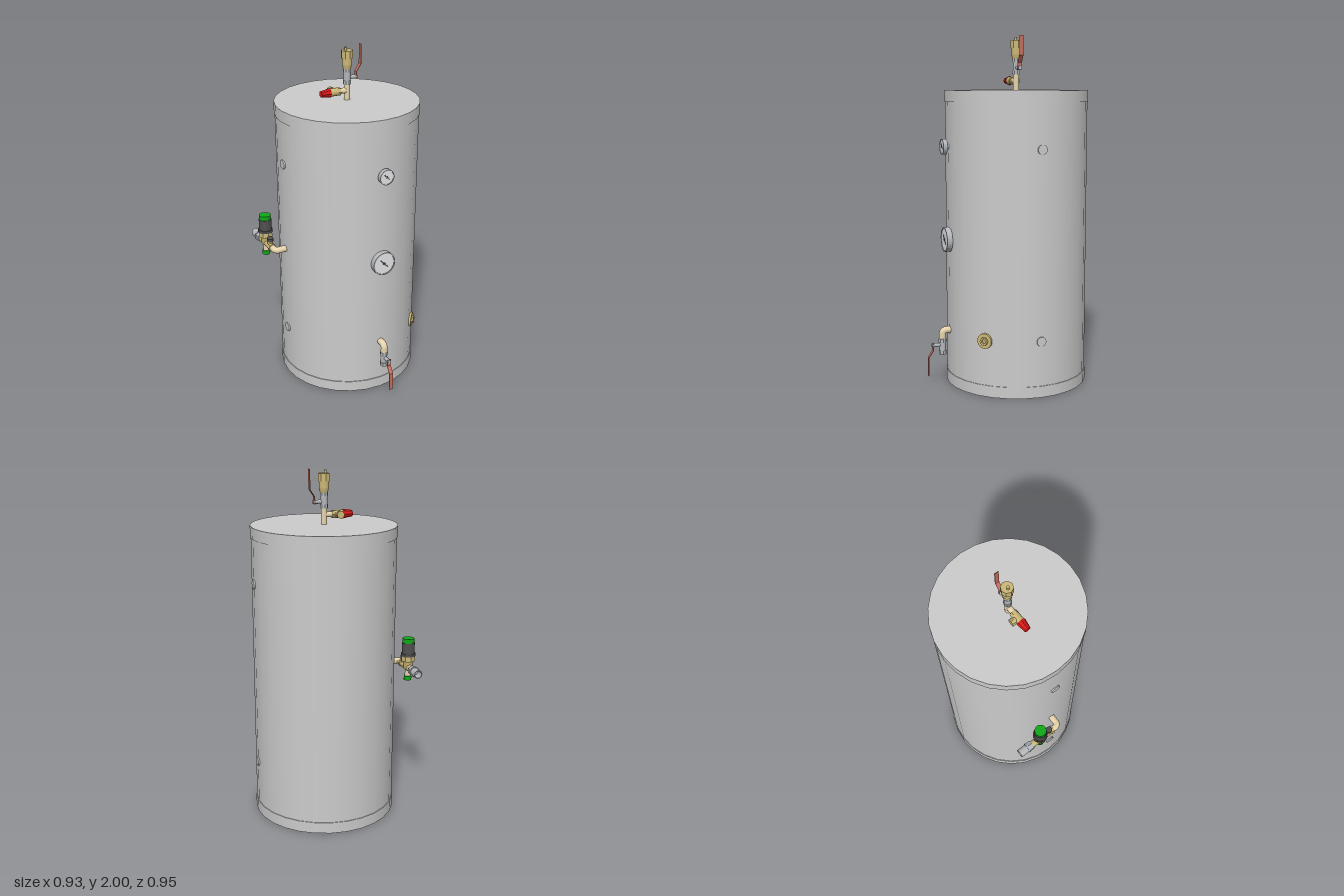
import * as THREE from 'three';

const mat = (color) => new THREE.MeshStandardMaterial({ color });
const grey = mat(0xcccccc), steel = mat(0xb4b8bc), brass = mat(0xccb878), tan = mat(0xe6d4ac);
const red = mat(0xd81818), leverRed = mat(0xc87060), green = mat(0x10a818), dark = mat(0x505050), white = mat(0xe8e8ec);
const V = (x, y, z) => new THREE.Vector3(x, y, z);
const UP = V(0, 1, 0);

function add(parent, name, geo, material) {
  const m = new THREE.Mesh(geo, material);
  m.name = name;
  parent.add(m);
  return m;
}

// Cylinder or cone between two points; few-sided ones get flat facets
function rod(parent, name, a, b, r, material, seg = 20, r2 = r) {
  let geo = new THREE.CylinderGeometry(r2, r, a.distanceTo(b), seg);
  if (seg <= 8) {
    geo = geo.toNonIndexed();
    geo.computeVertexNormals();
  }
  const m = add(parent, name, geo, material);
  m.position.copy(a).add(b).multiplyScalar(0.5);
  m.quaternion.setFromUnitVectors(UP, b.clone().sub(a).normalize());
  return m;
}

// Pipe with a rounded elbow at the middle point
function elbow(parent, name, a, corner, b, r, bend) {
  const p = corner.clone().add(a.clone().sub(corner).setLength(bend));
  const q = corner.clone().add(b.clone().sub(corner).setLength(bend));
  const path = new THREE.CurvePath();
  path.add(new THREE.LineCurve3(a, p));
  path.add(new THREE.QuadraticBezierCurve3(p, corner, q));
  path.add(new THREE.LineCurve3(q, b));
  add(parent, name, new THREE.TubeGeometry(path, 24, r, 16), tan);
}

// Ball valve: bore along y, stem along +z, cranked lever along +y
function ballValve(name) {
  const g = new THREE.Group();
  g.name = name;
  rod(g, 'valveBody', V(0, -0.03, 0), V(0, 0.03, 0), 0.019, steel);
  for (const s of [-1, 1]) rod(g, 'valveNut', V(0, s * 0.024, 0), V(0, s * 0.046, 0), 0.023, steel, 8);
  rod(g, 'valveStem', V(0, -0.01, 0), V(0, -0.01, 0.05), 0.011, steel, 12);
  rod(g, 'stemNut', V(0, -0.01, 0.05), V(0, -0.01, 0.064), 0.012, steel, 6);
  const pts = [[0.054, -0.022], [0.054, 0.02], [0.082, 0.06], [0.082, 0.17]];
  const outline = [...pts, ...pts.map(([z, y]) => [z + 0.004, y]).reverse()];
  const shape = new THREE.Shape(outline.map(([z, y]) => new THREE.Vector2(z, y)));
  const geo = new THREE.ExtrudeGeometry(shape, { depth: 0.024, bevelEnabled: false });
  geo.translate(0, 0, -0.012).rotateY(-Math.PI / 2);
  add(g, 'lever', geo, leverRed);
  return g;
}

// Dial gauge facing +z
function gauge(name, r, y, z0, z1) {
  const g = new THREE.Group();
  g.name = name;
  g.position.set(0.05, y, 0);
  rod(g, 'gaugeStem', V(0, 0, 0.3), V(0, 0, z0), r * 0.35, steel);
  const profile = [[0, z0], [r, z0], [r, z1], [r * 0.9, z1], [r * 0.9, z1 - 0.004]];
  const lathe = new THREE.LatheGeometry(profile.map(([x, y]) => new THREE.Vector2(x, y)), 32);
  lathe.rotateX(Math.PI / 2);
  const bezel = add(g, 'bezel', lathe.toNonIndexed(), steel);
  bezel.geometry.computeVertexNormals();
  const face = add(g, 'dialFace', new THREE.CircleGeometry(r * 0.92, 32), white);
  face.position.z = z1 - 0.003;
  const needle = add(g, 'needle', new THREE.BoxGeometry(r * 0.95, r * 0.1, 0.002), dark);
  needle.position.z = z1 - 0.002;
  needle.rotation.z = -Math.PI / 4;
  rod(g, 'needleHub', V(0, 0, z1 - 0.003), V(0, 0, z1), r * 0.12, dark, 12);
  return g;
}

export function createModel() {
  const root = new THREE.Group();
  root.name = 'hotWaterTank';
  const cx = 0.05, cz = -0.06;

  // Tank shell and end caps
  rod(root, 'tankShell', V(cx, 0.06, cz), V(cx, 1.635, cz), 0.408, grey, 28);
  rod(root, 'bottomCap', V(cx, 0, cz), V(cx, 0.065, cz), 0.412, grey, 28);
  rod(root, 'topCap', V(cx, 1.63, cz), V(cx, 1.695, cz), 0.412, grey, 28);

  // Side blanking plugs
  for (const s of [-1, 1])
    for (const y of [0.32, 1.38])
      rod(root, 'sidePlug', V(cx + s * 0.38, y, cz), V(cx + s * 0.414, y, cz), 0.027, grey);

  // Gauges
  root.add(gauge('smallGauge', 0.044, 1.38, 0.362, 0.387));
  root.add(gauge('largeGauge', 0.07, 0.85, 0.345, 0.377));

  // Brass inspection plug on the front left diagonal
  const plug = new THREE.Group();
  plug.name = 'brassPlug';
  plug.position.set(cx, 0.32, cz);
  plug.rotation.y = Math.PI / 4;
  rod(plug, 'plugFlange', V(0, 0, 0.38), V(0, 0, 0.418), 0.043, brass, 24);
  const hex = new THREE.Shape(), bore = new THREE.Path();
  for (let i = 0; i < 6; i++) {
    const a = i * Math.PI / 3;
    hex[i ? 'lineTo' : 'moveTo'](0.024 * Math.cos(a), 0.024 * Math.sin(a));
  }
  bore.absarc(0, 0, 0.011, 0, Math.PI * 2, true);
  hex.holes.push(bore);
  const boss = add(plug, 'plugHex', new THREE.ExtrudeGeometry(hex, { depth: 0.011, bevelEnabled: false }), brass);
  boss.position.z = 0.418;
  root.add(plug);

  // Drain at the front
  elbow(root, 'drainElbow', V(cx, 0.32, 0.32), V(cx, 0.32, 0.392), V(cx, 0.26, 0.392), 0.02, 0.025);
  const drain = ballValve('drainValve');
  drain.position.set(cx, 0.225, 0.392);
  drain.rotation.z = Math.PI;
  root.add(drain);

  // Top riser, ball valve and air vent
  const top = new THREE.Group();
  top.name = 'topFittings';
  top.position.set(cx, 0, cz);
  root.add(top);
  rod(top, 'riser', V(0, 1.69, 0), V(0, 1.8, 0), 0.017, tan);
  const topValve = ballValve('topValve');
  topValve.position.y = 1.83;
  topValve.rotation.y = Math.PI / 2;
  top.add(topValve);
  rod(top, 'ventNeck', V(0, 1.87, 0), V(0, 1.9, 0), 0.022, brass, 20, 0.028);
  rod(top, 'ventBody', V(0, 1.895, 0), V(0, 1.935, 0), 0.028, brass);
  rod(top, 'ventHex', V(0, 1.932, 0), V(0, 1.975, 0), 0.034, brass, 8);
  rod(top, 'ventTip', V(-0.008, 1.97, 0), V(-0.008, 1.993, 0), 0.008, brass, 12);

  // Relief valve branching to the side
  rod(top, 'branch', V(0, 1.748, 0), V(-0.06, 1.748, 0), 0.016, tan);
  rod(top, 'reliefHex', V(-0.045, 1.748, 0), V(-0.065, 1.748, 0), 0.023, brass, 6);
  rod(top, 'reliefBody', V(-0.06, 1.748, 0), V(-0.112, 1.748, 0), 0.022, brass);
  rod(top, 'reliefOutlet', V(-0.085, 1.748, 0), V(-0.085, 1.748, -0.035), 0.017, brass);
  rod(top, 'reliefOutletNut', V(-0.085, 1.748, -0.026), V(-0.085, 1.748, -0.045), 0.022, brass, 8);
  rod(top, 'reliefCap', V(-0.11, 1.748, 0), V(-0.165, 1.748, 0), 0.027, red, 8, 0.018);

  // Pressure control valve on the right side
  const ctl = new THREE.Group();
  ctl.name = 'controlValve';
  ctl.position.set(-0.42, 0.852, 0);
  root.add(ctl);
  elbow(ctl, 'inletElbow', V(0.08, 0, -0.065), V(0, 0, -0.065), V(0, 0, -0.12), 0.019, 0.025);
  rod(ctl, 'inletNut', V(0, 0, -0.105), V(0, 0, -0.125), 0.024, brass, 8);
  rod(ctl, 'valveBarrel', V(0, 0, -0.12), V(0, 0, -0.265), 0.02, brass);
  rod(ctl, 'testPort', V(0, 0, -0.14), V(0, 0.035, -0.137), 0.016, brass);
  rod(ctl, 'testPortCap', V(0, 0.033, -0.137), V(0, 0.052, -0.135), 0.018, dark);
  rod(ctl, 'bonnetNeck', V(0, -0.01, -0.2), V(0, 0.045, -0.2), 0.024, brass, 20, 0.032);
  rod(ctl, 'bonnetHex', V(0, 0.04, -0.2), V(0, 0.075, -0.2), 0.042, brass, 8);
  rod(ctl, 'knobFlange', V(0, 0.07, -0.2), V(0, 0.085, -0.2), 0.043, dark, 24);
  rod(ctl, 'knob', V(0, 0.08, -0.2), V(0, 0.15, -0.2), 0.037, dark, 24);
  rod(ctl, 'knobCap', V(0, 0.148, -0.2), V(0, 0.176, -0.2), 0.034, green, 24);
  rod(ctl, 'lowerStem', V(0, 0, -0.2), V(0, -0.055, -0.2), 0.017, tan);
  rod(ctl, 'lowerKnob', V(0, -0.052, -0.2), V(0, -0.077, -0.2), 0.022, green, 16);
  rod(ctl, 'unionNut', V(0, 0, -0.26), V(0, 0, -0.294), 0.028, steel, 6);
  rod(ctl, 'unionCollar', V(0, 0, -0.29), V(0, 0, -0.297), 0.03, steel);

  // Open outlet pipe
  const wall = [[0.024, -0.025], [0.025, -0.025], [0.025, 0.03], [0.02, 0.03], [0.02, -0.02], [0, -0.02]];
  const pipe = new THREE.LatheGeometry(wall.map(([x, y]) => new THREE.Vector2(x, y)), 20).toNonIndexed();
  pipe.computeVertexNormals();
  pipe.rotateX(-Math.PI / 2);
  add(ctl, 'outletPipe', pipe, steel).position.z = -0.32;

  return root;
}
